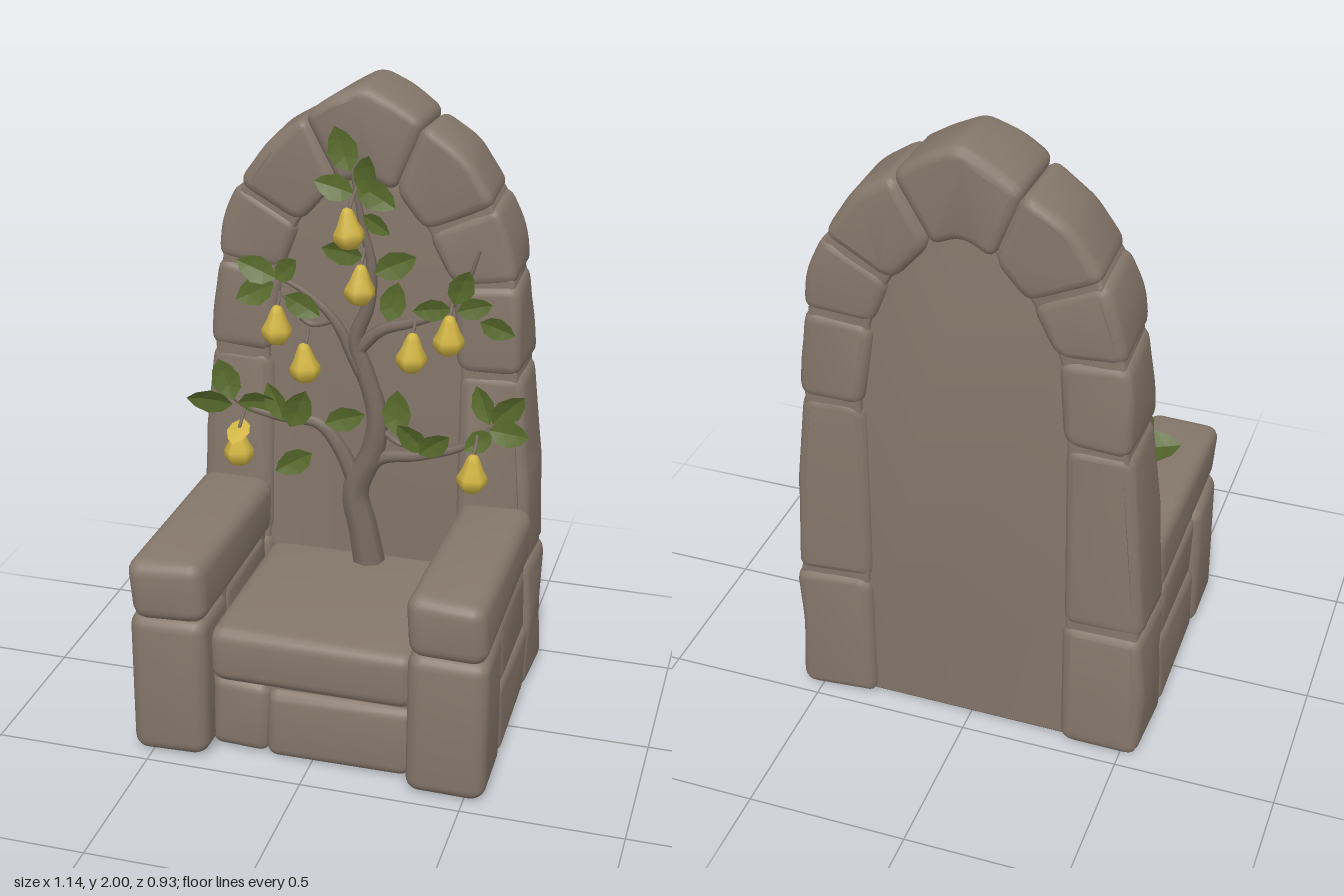
import * as THREE from 'three';
import { toCreasedNormals } from 'three/addons/utils/BufferGeometryUtils.js';
import { RoundedBoxGeometry } from 'three/addons/geometries/RoundedBoxGeometry.js';

const material = (name, color, side = THREE.FrontSide) => {
  const m = new THREE.MeshStandardMaterial({ color, side });
  m.name = name;
  return m;
};

export function createModel() {
  const stone = material('stone', 0x85776b);
  const bark = material('bark', 0x786c62);
  const leafGreen = material('leaf green', 0x586b2c, THREE.DoubleSide);
  leafGreen.flatShading = true;
  const pearYellow = material('pear yellow', 0xd0b443, THREE.DoubleSide);

  const model = new THREE.Group();
  model.name = 'stoneThrone';
  const add = (parent, name, geometry, mat) => {
    const mesh = new THREE.Mesh(geometry, mat);
    mesh.name = name;
    parent.add(mesh);
    return mesh;
  };
  const group = (name) => {
    const g = new THREE.Group();
    g.name = name;
    model.add(g);
    return g;
  };

  // Uneven, weathered surface for every stone
  const addStone = (parent, name, geo) => {
    const pos = geo.attributes.position;
    for (let i = 0; i < pos.count; i++) {
      const x = pos.getX(i), y = pos.getY(i), z = pos.getZ(i);
      pos.setXYZ(i,
        x + 0.005 * Math.sin(17 * y + 13 * z),
        y + 0.004 * Math.sin(19 * x + 15 * z + 1),
        z + 0.004 * Math.sin(16 * x + 14 * y + 2));
    }
    add(parent, name, toCreasedNormals(geo, 0.6), stone);
  };

  // Polygon with softened corners
  const roundedShape = (points, radius) => {
    const p = points.map(([x, y]) => new THREE.Vector2(x, y));
    const shape = new THREE.Shape();
    p.forEach((c, i) => {
      const toward = (q) => {
        const d = q.clone().sub(c);
        return c.clone().addScaledVector(d.normalize(), Math.min(radius, q.distanceTo(c) * 0.45));
      };
      const a = toward(p[(i + p.length - 1) % p.length]);
      const b = toward(p[(i + 1) % p.length]);
      if (i === 0) shape.moveTo(a.x, a.y);
      else shape.lineTo(a.x, a.y);
      shape.quadraticCurveTo(c.x, c.y, b.x, b.y);
    });
    shape.closePath();
    return shape;
  };

  // Worn stone cut from a polygon in the x-y plane
  const cutStone = (parent, name, points, z0, z1, bevel = 0.03, radius = 0.045) => {
    const geo = new THREE.ExtrudeGeometry(roundedShape(points, radius), {
      depth: z1 - z0 - 2 * bevel, curveSegments: 4, bevelEnabled: true,
      bevelThickness: bevel, bevelSize: bevel, bevelOffset: -bevel, bevelSegments: 3,
    });
    geo.translate(0, 0, z0 + bevel);
    addStone(parent, name, geo);
  };

  // Worn rectangular stone
  const block = (parent, name, [x0, x1], [y0, y1], [z0, z1], r = 0.038) => {
    const geo = new RoundedBoxGeometry(x1 - x0, y1 - y0, z1 - z0, 3, r);
    geo.translate((x0 + x1) / 2, (y0 + y1) / 2, (z0 + z1) / 2);
    addStone(parent, name, geo);
  };
  const sides = [['left', 1], ['right', -1]];
  const mirrored = (range, s) => (s > 0 ? range : [-range[1], -range[0]]);

  // Backrest: arch of stones around a recessed panel
  const back = group('backrest');
  const outer = [[0.56, 0.005], [0.558, 0.47], [0.508, 1.12], [0.483, 1.42], [0.412, 1.67], [0.185, 1.9]];
  const inner = [[0.31, 0.005], [0.31, 0.47], [0.305, 1.12], [0.275, 1.4], [0.2, 1.56], [0.09, 1.69]];
  const bulge = [[0.565, 0.24], [0.54, 0.8], [0.502, 1.27], [0.462, 1.55], [0.315, 1.815]];
  for (const [side, s] of sides) {
    for (let i = 0; i < 5; i++) {
      const pts = [inner[i], outer[i], bulge[i], outer[i + 1], inner[i + 1]].map(([x, y]) => [x * s, y]);
      const d = [0, 0.008, 0.002, 0.006, 0][i];
      cutStone(back, `${side}ArchStone${i + 1}`, pts, -0.462 + d, -0.207 - d);
    }
    // Mortar filling the joints
    const joints = [...inner.map(([x, y]) => [x * 1.03, y + 0.01]),
      ...outer.map(([x, y]) => [x * 0.975, y * 0.99 + 0.008]).reverse()];
    cutStone(back, `${side}ArchMortar`, joints.map(([x, y]) => [x * s, y]), -0.45, -0.22, 0.012, 0.03);
  }
  cutStone(back, 'keystone',
    [[-0.09, 1.685], [0, 1.725], [0.09, 1.685], [0.19, 1.9], [0.1, 1.962], [0, 2.009], [-0.1, 1.962], [-0.19, 1.9]],
    -0.46, -0.21, 0.03, 0.035);
  const panel = [...inner, [0, 1.75], ...inner.map(([x, y]) => [-x, y]).reverse()]
    .map(([x, y]) => [x * 1.12, y * 1.012 + 0.005]);
  cutStone(back, 'backPanel', panel, -0.435, -0.238, 0.01, 0.02);

  // Seat
  const seat = group('seat');
  block(seat, 'seatSlab', [-0.325, 0.325], [0.245, 0.433], [-0.27, 0.392], 0.045);
  block(seat, 'frontStoneRight', [-0.325, -0.135], [0.008, 0.262], [-0.3, 0.385]);
  block(seat, 'frontStoneLeft', [-0.145, 0.325], [0.008, 0.25], [-0.3, 0.39]);
  block(seat, 'seatCore', [-0.33, 0.33], [0.02, 0.38], [-0.42, 0.365], 0.02);

  // Arms
  for (const [side, s] of sides) {
    const arm = group(`${side}Arm`);
    const x = (a, b) => mirrored([a, b], s);
    block(arm, 'armrest', x(0.315, 0.556), [0.475, 0.676], [-0.24, 0.465], 0.048);
    block(arm, 'armFrontStone', x(0.315, 0.565), [0.005, 0.487], [0.195, 0.463], 0.046);
    block(arm, 'armUpperStone', x(0.325, 0.553), [0.255, 0.485], [-0.2, 0.205]);
    block(arm, 'armLowerStone', x(0.325, 0.56), [0.01, 0.27], [-0.22, 0.21]);
    block(arm, 'armCore', x(0.335, 0.542), [0.02, 0.6], [-0.4, 0.435], 0.02);
  }

  // Tree: tapered tubes
  const tree = group('pearTree');
  const limb = (name, points, r0, r1) => {
    const curve = new THREE.CatmullRomCurve3(points.map(([x, y, z = -0.195]) => new THREE.Vector3(x, y, z)));
    const rings = points.length * 5, sidesCount = 7;
    const geo = new THREE.TubeGeometry(curve, rings, 1, sidesCount);
    const pos = geo.attributes.position, v = new THREE.Vector3();
    for (let i = 0; i < pos.count; i++) {
      const t = Math.floor(i / (sidesCount + 1)) / rings;
      const c = curve.getPointAt(t);
      v.fromBufferAttribute(pos, i).sub(c).multiplyScalar(r0 + (r1 - r0) * t).add(c);
      pos.setXYZ(i, v.x, v.y, v.z);
    }
    add(tree, name, geo, bark);
  };
  limb('trunk', [[0.03, 0.41], [0.005, 0.55], [-0.02, 0.68], [0.035, 0.82], [0.05, 0.95], [0.01, 1.1], [-0.02, 1.2],
    [0.02, 1.32], [0.03, 1.45], [0, 1.58], [-0.03, 1.74]], 0.054, 0.007);
  limb('lowerRightBranch', [[-0.015, 0.7], [-0.07, 0.82], [-0.14, 0.9], [-0.28, 0.91], [-0.4, 0.94], [-0.47, 1.0]], 0.03, 0.007);
  limb('lowerLeftBranch', [[-0.01, 0.7], [0.06, 0.8], [0.2, 0.83], [0.34, 0.88], [0.44, 0.97]], 0.028, 0.007);
  limb('upperRightBranch', [[0.04, 1.02], [-0.02, 1.13], [-0.09, 1.26], [-0.18, 1.34], [-0.28, 1.39]], 0.027, 0.006);
  limb('upperLeftBranch', [[-0.02, 1.16], [0.06, 1.24], [0.17, 1.28], [0.27, 1.33], [0.33, 1.42], [0.37, 1.53]], 0.024, 0.005);
  limb('rightTwig', [[-0.09, 1.26], [-0.17, 1.24], [-0.26, 1.33]], 0.012, 0.005);
  limb('leftTwig', [[0.05, 0.92], [0.13, 0.86], [0.22, 0.87]], 0.012, 0.005);

  // Leaves: folded blades, each given as base x, y and tip x, y in hundredths
  const blade = new THREE.BufferGeometry();
  blade.setAttribute('position', new THREE.Float32BufferAttribute([
    0, 0, 0, 0, 0.35, -0.05, 0, 0.7, -0.04, 0, 1, 0.02,
    0.25, 0.22, 0.02, 0.32, 0.5, 0.03, 0.2, 0.8, 0.03,
    -0.25, 0.22, 0.02, -0.32, 0.5, 0.03, -0.2, 0.8, 0.03], 3));
  blade.setIndex([0, 4, 1, 4, 5, 1, 1, 5, 2, 5, 6, 2, 2, 6, 3, 0, 1, 7, 7, 1, 8, 1, 2, 8, 8, 2, 9, 2, 3, 9]);
  blade.computeVertexNormals();
  const leafSets = {
    crown: [[-3, 175, -8, 189], [1, 169, 4, 182], [-2, 168, -15, 171], [-1, 172, 11, 164], [1, 162, 10, 157],
      [1, 148, -12, 151], [5, 144, 18, 150], [9, 128, 12, 141]],
    upper: [[-27, 139, -40, 144], [-27, 139, -19, 147], [-28, 137, -41, 130], [-24, 134, -13, 127],
      [30, 136, 35, 148], [29, 134, 17, 133], [31, 134, 42, 137], [38, 131, 49, 127]],
    lower: [[-42, 96, -47, 110], [-42, 95, -57, 97], [-41, 95, -27, 96], [-25, 91, -31, 103], [-23, 89, -17, 103],
      [-16, 80, -28, 73], [-11, 92, 2, 96], [12, 90, 12, 105], [22, 85, 13, 95], [20, 85, 30, 93],
      [42, 97, 37, 109], [43, 98, 53, 108], [42, 96, 56, 96], [43, 94, 34, 87]],
  };
  for (const [name, leaves] of Object.entries(leafSets)) {
    leaves.forEach(([bx, by, tx, ty], i) => {
      const leaf = add(tree, `${name}Leaf${i + 1}`, blade, leafGreen);
      const dx = (tx - bx) / 100, dy = (ty - by) / 100;
      leaf.position.set(bx / 100, by / 100, -0.165 + 0.012 * Math.sin(i * 2.3));
      leaf.rotation.set(0.2 * Math.sin(i * 1.7), 0.3 * Math.cos(i * 2.9), Math.atan2(-dx, dy), 'ZXY');
      leaf.scale.setScalar(Math.hypot(dx, dy));
    });
  }

  // Yellowed leaf above one low pear
  const yellowLeaf = add(tree, 'yellowedLeaf', blade, pearYellow);
  yellowLeaf.position.set(-0.39, 0.9, -0.17);
  yellowLeaf.rotation.x = 1.95;
  yellowLeaf.scale.setScalar(0.12);

  // Pears: one lathe profile, each hung from a short stem
  const profile = [[0, -0.058], [0.03, -0.052], [0.049, -0.027], [0.048, -0.005], [0.033, 0.022], [0.023, 0.05], [0.014, 0.068], [0, 0.073]];
  const pearGeo = new THREE.LatheGeometry(profile.map(([x, y]) => new THREE.Vector2(x, y)), 6);
  const pears = [[-0.015, 1.59, -0.095], [0.01, 1.4, -0.135], [-0.27, 1.23, -0.165], [-0.175, 1.115, -0.155],
    [0.17, 1.185, -0.16], [0.29, 1.26, -0.145], [-0.39, 0.815, -0.12], [0.38, 0.815, -0.125]];
  pears.forEach(([x, y, z], i) => {
    const pear = add(tree, `pear${i + 1}`, pearGeo, pearYellow);
    pear.position.set(x, y, z);
    pear.rotation.set(0.06 * Math.sin(i * 2), i, 0.08 * Math.cos(i * 3));
    limb(`pearStem${i + 1}`, [[x, y + 0.06, z], [x + 0.004, y + 0.085, z - 0.015], [x, y + 0.11, -0.19]], 0.006, 0.005);
  });

  return model;
}
